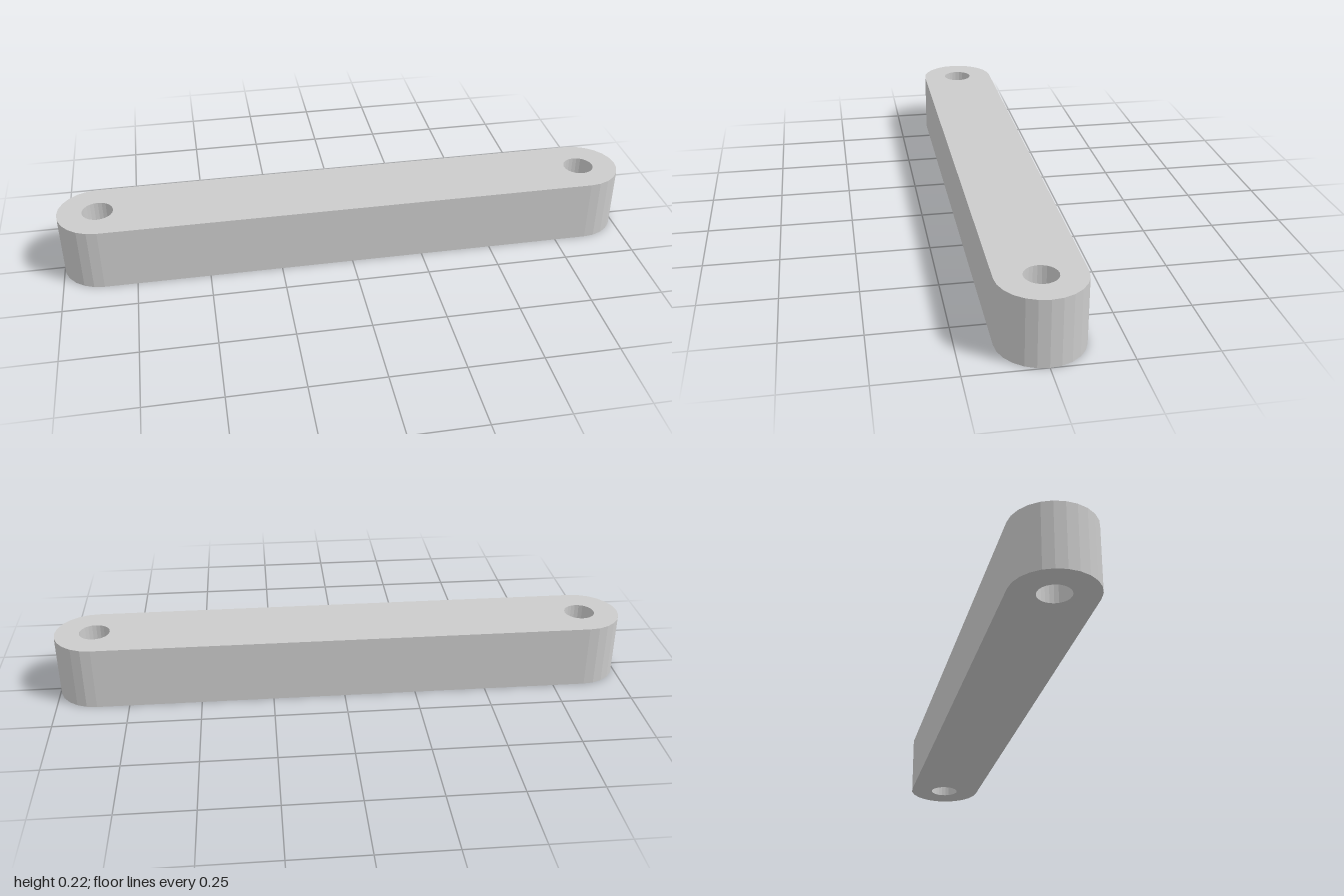
import * as THREE from 'three';

const HEIGHT = 0.22;
const END_RADIUS = 0.138;
const HOLE_RADIUS = 0.053;
const HOLE_X = 1 - END_RADIUS;

export function createModel() {
  const group = new THREE.Group();
  group.name = 'linkBar';

  // Bar outline with two rounded ends
  const outline = new THREE.Shape();
  outline.absarc(HOLE_X, 0, END_RADIUS, -Math.PI / 2, Math.PI / 2, false);
  outline.absarc(-HOLE_X, 0, END_RADIUS, Math.PI / 2, Math.PI * 1.5, false);
  outline.closePath();

  // A round pin hole through each end, drawn as two half circles
  for (const x of [-HOLE_X, HOLE_X]) {
    const hole = new THREE.Path();
    hole.absarc(x, 0, HOLE_RADIUS, 0, -Math.PI, true);
    hole.absarc(x, 0, HOLE_RADIUS, -Math.PI, -Math.PI * 2, true);
    outline.holes.push(hole);
  }

  // Each half circle gets 12 flat facets
  const geometry = new THREE.ExtrudeGeometry(outline, {
    depth: HEIGHT,
    bevelEnabled: false,
    curveSegments: 6,
  });
  geometry.rotateX(-Math.PI / 2);

  const bar = new THREE.Mesh(
    geometry,
    new THREE.MeshStandardMaterial({ color: 0xcccccc, flatShading: true })
  );
  bar.name = 'bar';
  group.add(bar);
  return group;
}
